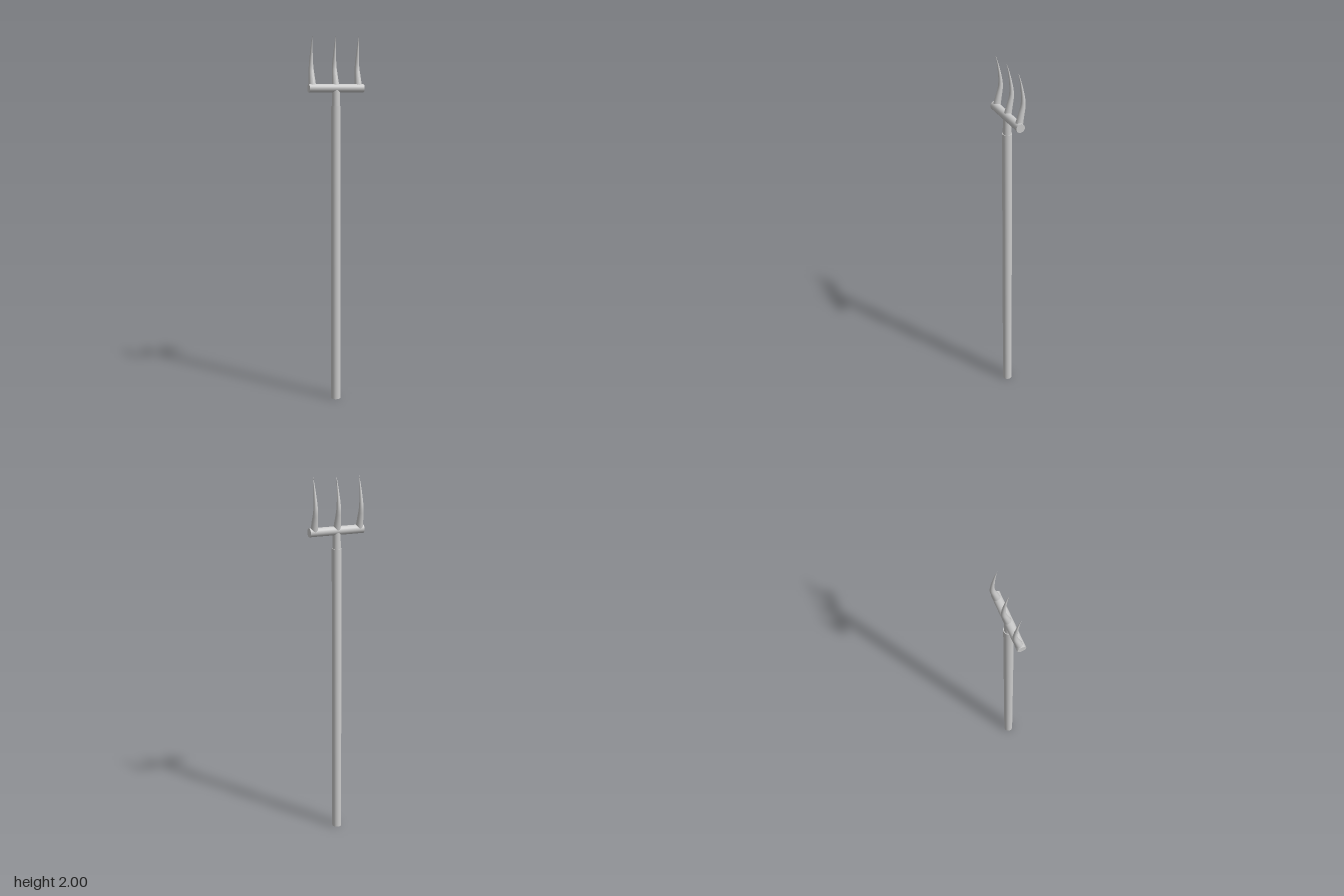
import * as THREE from 'three';

const CX = -0.002, CZ = 0.006; // axis of the shaft
const material = new THREE.MeshStandardMaterial({ color: 0xcccccc });

function rod(name, rBottom, rTop, y0, y1) {
  const mesh = new THREE.Mesh(new THREE.CylinderGeometry(rTop, rBottom, y1 - y0, 24), material);
  mesh.position.set(CX, (y0 + y1) / 2, CZ);
  mesh.name = name;
  return mesh;
}

// Tapered spike whose rings are shifted in z along a bent centre line
function tineGeometry(y0, y1) {
  const bend = new THREE.SplineCurve([
    [1.715, 0.006], [1.75, -0.001], [1.79, -0.01], [1.83, -0.0185],
    [1.87, -0.018], [1.92, -0.011], [1.96, -0.003], [2.0, 0.008],
  ].map(([y, z]) => new THREE.Vector2(y, z)));
  const samples = bend.getPoints(140);
  const geometry = new THREE.CylinderGeometry(0.0005, 0.021, y1 - y0, 16, 16);
  geometry.translate(0, (y0 + y1) / 2, 0);
  const p = geometry.attributes.position;
  for (let i = 0; i < p.count; i++) {
    const y = p.getY(i);
    const k = Math.max(1, samples.findIndex((s) => s.x >= y - 1e-5));
    const a = samples[k - 1], b = samples[k];
    const z = a.y + (b.y - a.y) * (y - a.x) / (b.x - a.x);
    p.setZ(i, p.getZ(i) + z);
  }
  geometry.computeVertexNormals();
  return geometry;
}

export function createModel() {
  const model = new THREE.Group();
  model.name = 'trident';

  // Handle, with a slimmer neck reaching into the crossbar
  model.add(rod('shaft', 0.026, 0.026, 0, 1.63));
  model.add(rod('neck', 0.022, 0.021, 1.62, 1.725));

  // Crossbar
  const bar = new THREE.Mesh(new THREE.CylinderGeometry(0.023, 0.023, 0.309, 24), material);
  bar.rotation.z = Math.PI / 2;
  bar.position.set(0, 1.724, CZ);
  bar.name = 'crossbar';
  model.add(bar);

  // Three curved tines
  const tine = tineGeometry(1.72, 2);
  const names = ['rightTine', 'middleTine', 'leftTine'];
  names.forEach((name, i) => {
    const mesh = new THREE.Mesh(tine, material);
    mesh.position.x = CX + (i - 1) * 0.13;
    mesh.name = name;
    model.add(mesh);
  });
  return model;
}
